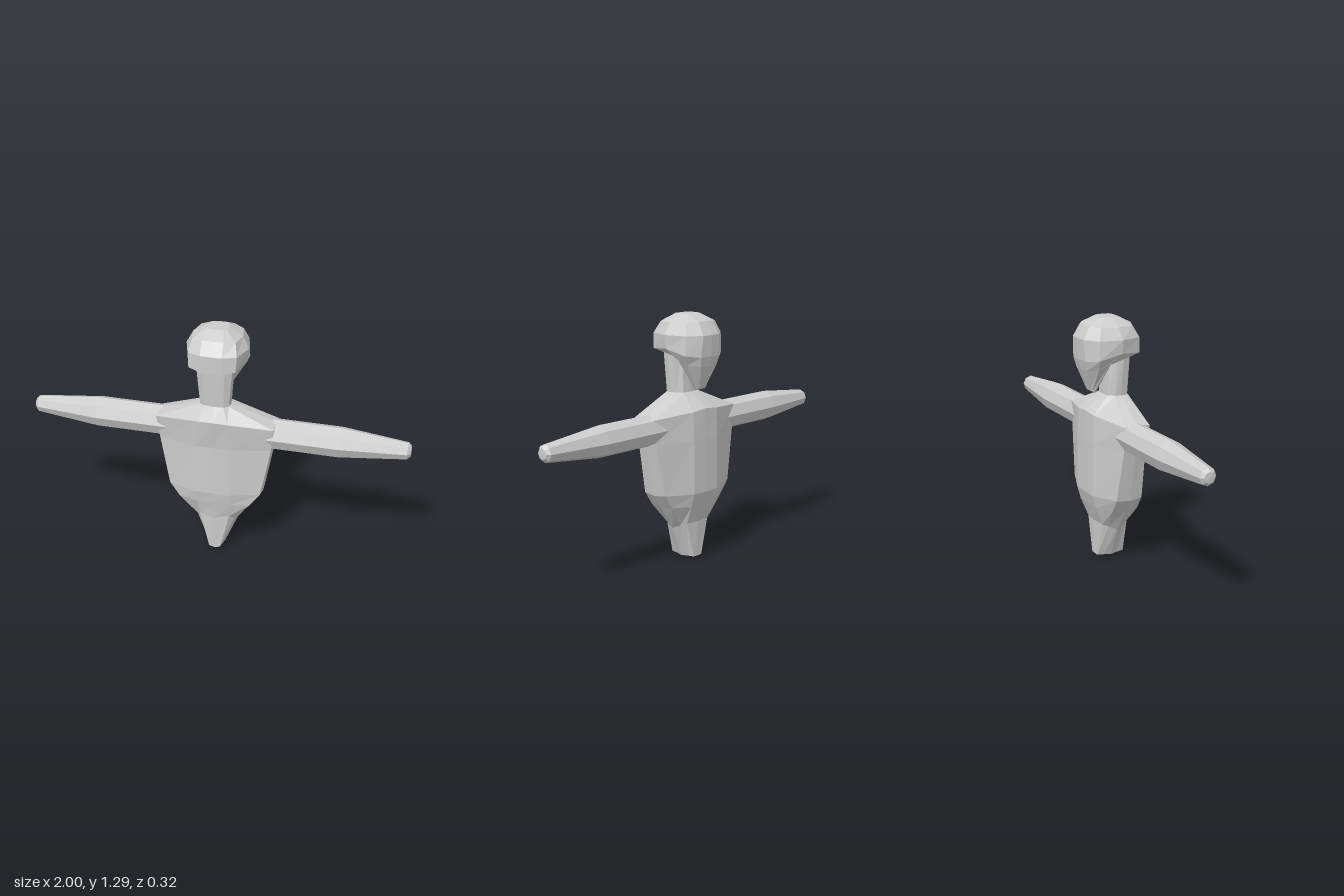
import * as THREE from 'three';

const grey = new THREE.MeshStandardMaterial({ color: 0xcccccc, flatShading: true });
grey.name = 'plain grey';

// Closed skin over rings listed bottom to top; each ring holds half a section
// (front centre to back centre on the +x side) that is mirrored to -x.
function loft(name, halves) {
  const rings = halves.map((h) => [
    ...h,
    ...h.slice(1, -1).reverse().map(([x, y, z]) => [-x, y, z]),
  ]);
  const n = rings[0].length;
  const pos = rings.flat(2);
  const index = [];
  for (let i = 0; i < rings.length - 1; i++) {
    for (let j = 0; j < n; j++) {
      const a = i * n + j, b = i * n + (j + 1) % n;
      index.push(a, b, b + n, a, b + n, a + n);
    }
  }
  // end caps
  const top = (rings.length - 1) * n;
  for (let j = 1; j < n - 1; j++) {
    index.push(0, j + 1, j, top, top + j, top + j + 1);
  }
  const geo = new THREE.BufferGeometry();
  geo.setAttribute('position', new THREE.Float32BufferAttribute(pos, 3));
  geo.setIndex(index);
  const flat = geo.toNonIndexed();
  flat.computeVertexNormals();
  const mesh = new THREE.Mesh(flat, grey);
  mesh.name = name;
  return mesh;
}

// Octagonal arm tapering to a slightly pointed end
function arm(name, side) {
  const profile = [[0, 0.2], [0.081, 0.2], [0.081, 0.64], [0.045, 0.982], [0.028, 0.998], [0, 1]]
    .map(([r, y]) => new THREE.Vector2(r, y));
  const geo = new THREE.LatheGeometry(profile, 8);
  geo.rotateZ(-side * Math.PI / 2);
  const mesh = new THREE.Mesh(geo, grey);
  mesh.name = name;
  mesh.position.set(0, 0.72, 0.012);
  return mesh;
}

export function createModel() {
  const model = new THREE.Group();
  model.name = 'figure';

  // Hips, chest and shoulders
  const chest = [
    [[0, 0, 0.09], [0.03, 0.01, 0.09], [0.038, 0.01, 0.05], [0.042, 0.005, 0.015], [0.038, 0.01, -0.03], [0.03, 0.01, -0.062], [0, 0.01, -0.062]],
    [[0, 0.2, 0.097], [0.08, 0.22, 0.09], [0.1, 0.19, 0.06], [0.11, 0.17, 0.015], [0.1, 0.19, -0.03], [0.08, 0.2, -0.06], [0, 0.2, -0.066]],
    [[0, 0.3, 0.112], [0.09, 0.3, 0.107], [0.19, 0.305, 0.088], [0.2, 0.3, 0.015], [0.19, 0.305, -0.055], [0.09, 0.3, -0.1], [0, 0.3, -0.1]],
    [[0, 0.37, 0.122], [0.09, 0.37, 0.12], [0.245, 0.38, 0.083], [0.248, 0.37, 0.015], [0.245, 0.38, -0.06], [0.09, 0.37, -0.12], [0, 0.37, -0.122]],
    [[0, 0.65, 0.122], [0.09, 0.65, 0.12], [0.295, 0.65, 0.076], [0.3, 0.65, 0.015], [0.295, 0.65, -0.047], [0.09, 0.65, -0.118], [0, 0.65, -0.12]],
    [[0, 0.812, 0.146], [0.08, 0.807, 0.138], [0.31, 0.78, 0.09], [0.312, 0.79, 0.015], [0.31, 0.78, -0.045], [0.09, 0.8, -0.112], [0, 0.81, -0.116]],
  ];
  // Neck, rising out of the shoulders into the head
  const neck = [
    [[0, 0.885, 0.106], [0.05, 0.885, 0.102], [0.075, 0.885, 0.085], [0.08, 0.885, 0.05], [0.075, 0.885, 0.02], [0.05, 0.885, -0.01], [0, 0.885, -0.015]],
    [[0, 1.12, 0.116], [0.06, 1.12, 0.114], [0.095, 1.12, 0.09], [0.1, 1.12, 0.06], [0.09, 1.12, 0.03], [0.05, 1.12, 0.002], [0, 1.12, 0]],
  ];
  model.add(loft('torso', [...chest, ...neck]));

  // Rounded head with a tail hanging at the back
  model.add(loft('head', [
    [[0, 0.9, -0.062], [0.02, 0.9, -0.064], [0.028, 0.902, -0.07], [0.032, 0.905, -0.08], [0.028, 0.91, -0.09], [0.018, 0.915, -0.098], [0, 0.915, -0.1]],
    [[0, 1.06, 0], [0.05, 1.06, 0], [0.09, 1.07, -0.005], [0.122, 1.06, -0.04], [0.11, 1.04, -0.09], [0.06, 1.03, -0.135], [0, 1.03, -0.14]],
    [[0, 1.1, 0.16], [0.06, 1.1, 0.157], [0.12, 1.11, 0.135], [0.153, 1.12, 0.02], [0.14, 1.09, -0.1], [0.07, 1.08, -0.147], [0, 1.08, -0.152]],
    [[0, 1.19, 0.16], [0.055, 1.19, 0.157], [0.125, 1.19, 0.13], [0.16, 1.19, 0.02], [0.135, 1.19, -0.1], [0.06, 1.19, -0.153], [0, 1.19, -0.157]],
    [[0, 1.257, 0.12], [0.055, 1.257, 0.117], [0.11, 1.25, 0.095], [0.128, 1.25, 0.01], [0.11, 1.25, -0.08], [0.055, 1.255, -0.115], [0, 1.257, -0.118]],
    [[0, 1.29, 0.056], [0.04, 1.29, 0.054], [0.052, 1.29, 0.04], [0.056, 1.29, 0.01], [0.052, 1.29, -0.025], [0.04, 1.29, -0.042], [0, 1.29, -0.044]],
  ]));

  model.add(arm('leftArm', 1), arm('rightArm', -1));
  return model;
}
